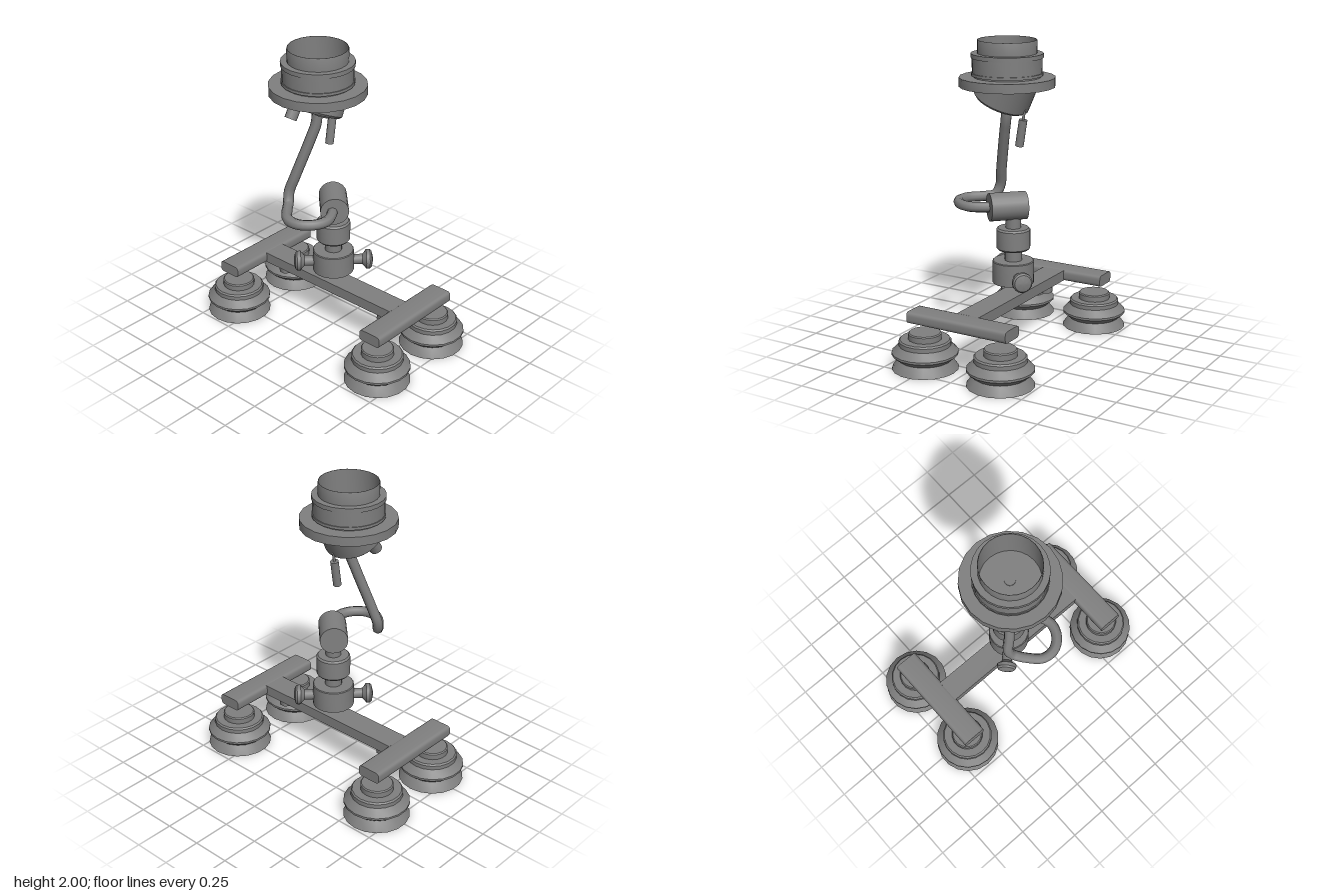
import * as THREE from 'three';
import { toCreasedNormals } from 'three/addons/utils/BufferGeometryUtils.js';

const material = new THREE.MeshStandardMaterial({ color: 0x808080, side: THREE.DoubleSide });

function add(parent, name, geometry, x = 0, y = 0, z = 0) {
  const mesh = new THREE.Mesh(geometry, material);
  mesh.name = name;
  mesh.position.set(x, y, z);
  parent.add(mesh);
  return mesh;
}

// Turned profile given as [radius, height] pairs, with sharp edges kept
function turned(profile, sides = 20) {
  const points = profile.map(([r, y]) => new THREE.Vector2(r, y));
  return toCreasedNormals(new THREE.LatheGeometry(points, sides), 0.5);
}

// Flat bar along z with rounded long edges
function bar(width, height, length, radius) {
  const w = width / 2, h = height / 2, r = radius;
  const s = new THREE.Shape();
  s.moveTo(-w + r, -h);
  s.lineTo(w - r, -h);
  s.quadraticCurveTo(w, -h, w, -h + r);
  s.lineTo(w, h - r);
  s.quadraticCurveTo(w, h, w - r, h);
  s.lineTo(-w + r, h);
  s.quadraticCurveTo(-w, h, -w, h - r);
  s.lineTo(-w, -h + r);
  s.quadraticCurveTo(-w, -h, -w + r, -h);
  const g = new THREE.ExtrudeGeometry(s, { depth: length, bevelEnabled: false, curveSegments: 4 });
  return toCreasedNormals(g.translate(0, 0, -length / 2), 0.6);
}

function buildBase(parent) {
  const base = new THREE.Group();
  base.name = 'base';
  parent.add(base);
  add(base, 'beam', new THREE.BoxGeometry(1.1, 0.07, 0.16), 0, 0.337, 0);
  const cup = turned([[0.212, 0], [0.207, 0.01], [0.168, 0.06], [0.211, 0.096], [0.211, 0.11],
    [0.166, 0.155], [0.166, 0.182], [0.157, 0.192], [0.105, 0.192], [0.105, 0.228],
    [0.098, 0.235], [0, 0.235]], 18);
  for (const sx of [-1, 1]) {
    add(base, 'crossBar', bar(0.16, 0.075, 0.715, 0.025), sx * 0.618, 0.337, 0);
    add(base, 'washer', new THREE.CylinderGeometry(0.047, 0.047, 0.025, 16), sx * 0.435, 0.288, 0);
    add(base, 'hexNut', new THREE.CylinderGeometry(0.046, 0.046, 0.036, 6), sx * 0.435, 0.258, 0)
      .rotation.y = Math.PI / 6;
    for (const sz of [-1, 1]) add(base, 'suctionCup', cup, sx * 0.618, 0, sz * 0.276);
  }
}

function buildColumn(parent) {
  const column = new THREE.Group();
  column.name = 'column';
  parent.add(column);
  add(column, 'columnFoot', turned([[0, 0.437], [0.135, 0.437], [0.135, 0.58], [0.13, 0.585], [0, 0.585]]));
  add(column, 'lowerNeck', new THREE.CylinderGeometry(0.056, 0.056, 0.1, 16), 0, 0.62, 0);
  add(column, 'collar', turned([[0, 0.658], [0.1, 0.658], [0.11, 0.67], [0.11, 0.79], [0.1, 0.802], [0, 0.802]]));
  add(column, 'upperNeck', new THREE.CylinderGeometry(0.05, 0.05, 0.12, 16), 0, 0.85, 0);

  // Pivot lying diagonally in plan
  const pivot = add(column, 'pivot', new THREE.CylinderGeometry(0.091, 0.091, 0.24, 20), 0.027, 0.945, 0.027);
  pivot.quaternion.setFromUnitVectors(new THREE.Vector3(0, 1, 0), new THREE.Vector3(1, 0, 1).normalize());

  // Clamp knobs on the other diagonal
  const knob = turned([[0, 0.1], [0.034, 0.1], [0.034, 0.19], [0.05, 0.205], [0.065, 0.215],
    [0.065, 0.238], [0.055, 0.25], [0.02, 0.259], [0, 0.26]], 16);
  for (const s of [-1, 1]) {
    add(column, 'clampKnob', knob, 0, 0.5, 0).quaternion.setFromUnitVectors(
      new THREE.Vector3(0, 1, 0), new THREE.Vector3(s, 0, -s).normalize());
  }
}

function buildArm(parent) {
  const path = new THREE.CatmullRomCurve3([
    [0.05, 0.942, 0.07], [0.12, 0.942, 0.15], [0.152, 0.942, 0.235], [0.125, 0.942, 0.32],
    [0.05, 0.942, 0.38], [-0.04, 0.942, 0.378], [-0.12, 0.942, 0.305], [-0.172, 0.955, 0.237],
    [-0.19, 1.02, 0.21], [-0.16, 1.13, 0.185], [-0.085, 1.4, 0.115], [-0.062, 1.5, 0.09],
    [-0.06, 1.64, 0.08], [-0.06, 1.75, 0.078],
  ].map((p) => new THREE.Vector3(...p)));
  add(parent, 'bentArm', new THREE.TubeGeometry(path, 60, 0.034, 8));
}

function buildHead(parent) {
  const head = new THREE.Group();
  head.name = 'head';
  head.position.set(-0.056, 0, 0.078);
  parent.add(head);

  // Flange, stepped barrel and hollow inside
  add(head, 'flange', turned([[0.17, 1.705], [0.307, 1.705], [0.307, 1.765], [0.21, 1.765]]));
  add(head, 'barrel', turned([[0.215, 1.765], [0.215, 1.775], [0.229, 1.775], [0.229, 1.793],
    [0.223, 1.793], [0.223, 1.887], [0.23, 1.887], [0.23, 1.915],
    [0.19, 1.915], [0.19, 1.994], [0.188, 2], [0.186, 2], [0.186, 1.755], [0, 1.755]], 24));
  add(head, 'armEnd', new THREE.CylinderGeometry(0.034, 0.034, 0.012, 16), -0.004, 1.755, 0);

  // Tilted housing: the top ring slides along the axis to meet the flange
  const tilt = 0.42;
  const rotation = new THREE.Matrix4().makeRotationX(-tilt);
  const centre = new THREE.Vector3(0, 1.597, 0.05);
  const up = new THREE.Vector3(0, Math.cos(tilt), -Math.sin(tilt));
  const profile = [[0, 0.015], [0.065, 0.015], [0.065, 0], [0.172, 0], [0.187, 0.015], [0.187, 0.2]];
  const shell = new THREE.LatheGeometry(profile.map((p) => new THREE.Vector2(...p)), 24);
  const pos = shell.attributes.position;
  const v = new THREE.Vector3();
  for (let i = 0; i < pos.count; i++) {
    v.fromBufferAttribute(pos, i);
    const isTop = v.y > 0.19;
    v.applyMatrix4(rotation).add(centre);
    if (isTop) v.addScaledVector(up, (1.715 - v.y) / up.y);
    pos.setXYZ(i, v.x, v.y, v.z);
  }
  add(head, 'housing', toCreasedNormals(shell, 0.5));

  // Fittings on the slanted underside
  const underside = new THREE.Group();
  underside.name = 'undersideFittings';
  underside.position.copy(centre);
  underside.rotation.x = -tilt;
  head.add(underside);
  add(underside, 'sidePlug', new THREE.CylinderGeometry(0.04, 0.04, 0.1, 12), -0.113, -0.04, 0.04)
    .rotation.x = -0.15;
  add(underside, 'socketRim', new THREE.TorusGeometry(0.042, 0.01, 6, 16), 0.105, 0, 0.03).rotation.x = Math.PI / 2;

  // Hanging plug on a thin stem
  const plug = new THREE.Group();
  plug.name = 'hangingPlug';
  plug.position.set(0.008, 1.415, -0.108);
  plug.rotation.x = -0.16;
  head.add(plug);
  add(plug, 'plugBody', new THREE.CylinderGeometry(0.027, 0.027, 0.175, 12));
  add(plug, 'plugStem', new THREE.CylinderGeometry(0.009, 0.009, 0.08, 8), 0, 0.115, 0);
}

export function createModel() {
  const model = new THREE.Group();
  model.name = 'suctionMount';
  buildBase(model);
  buildColumn(model);
  buildArm(model);
  buildHead(model);
  return model;
}
